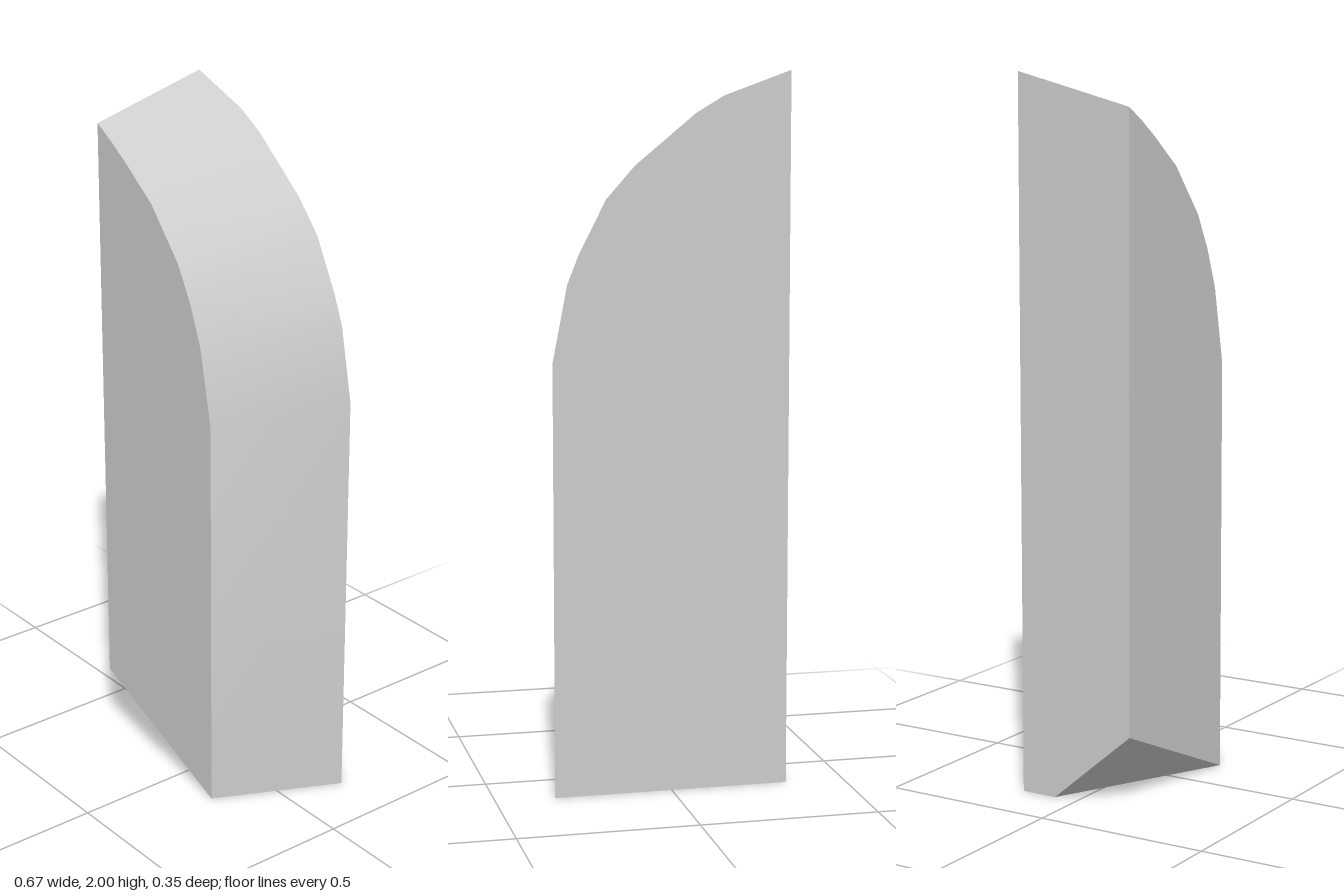
import * as THREE from 'three';
import { toCreasedNormals } from 'three/addons/utils/BufferGeometryUtils.js';

const HALF_DEPTH = 0.175;
const LEFT = -0.333;

// Outlines run counter-clockwise: bottom corners, then up the flank and over the curved top.
const FRONT = [
  [LEFT, 0.21], [0.162, 0], [0.162, 1.18], [0.119, 1.397], [0.077, 1.508],
  [0.024, 1.608], [-0.093, 1.746], [-0.204, 1.83], [-0.27, 1.875], [LEFT, 1.912],
];
const BACK = [
  [LEFT, 0], [0.333, 0], [0.333, 1.215], [0.291, 1.429], [0.257, 1.513],
  [0.183, 1.656], [0.103, 1.746], [-0.066, 1.885], [-0.145, 1.932], [LEFT, 2],
];

export function createModel() {
  const group = new THREE.Group();
  group.name = 'curvedWedge';
  const grey = new THREE.MeshStandardMaterial({ color: 0xcccccc });
  grey.name = 'light grey';

  const front = FRONT.map(([x, y]) => [x, y, HALF_DEPTH]);
  const back = BACK.map(([x, y]) => [x, y, -HALF_DEPTH]);
  const kink = [LEFT, 0, -0.07]; // where the bottom bevel starts
  const last = front.length - 1;

  // Each part is a list of convex polygons, cut into triangle fans
  const addPart = (name, polygons) => {
    const positions = [];
    for (const p of polygons) {
      for (let i = 1; i < p.length - 1; i++) positions.push(...p[0], ...p[i], ...p[i + 1]);
    }
    const geometry = new THREE.BufferGeometry();
    geometry.setAttribute('position', new THREE.Float32BufferAttribute(positions, 3));
    const mesh = new THREE.Mesh(toCreasedNormals(geometry, 0.5), grey);
    mesh.name = name;
    group.add(mesh);
  };

  addPart('frontFace', [front]);
  addPart('backFace', [[...back].reverse()]);

  // Slanted flank running into the smooth curved top
  const shell = [];
  for (let i = 1; i < last; i++) shell.push([front[i], back[i], back[i + 1], front[i + 1]]);
  addPart('curvedTopAndFlank', shell);

  addPart('straightSide', [[front[last], back[last], back[0], kink, front[0]]]);
  addPart('base', [[kink, back[0], back[1], front[1]]]);
  addPart('bottomBevel', [[front[0], kink, front[1]]]);

  return group;
}
